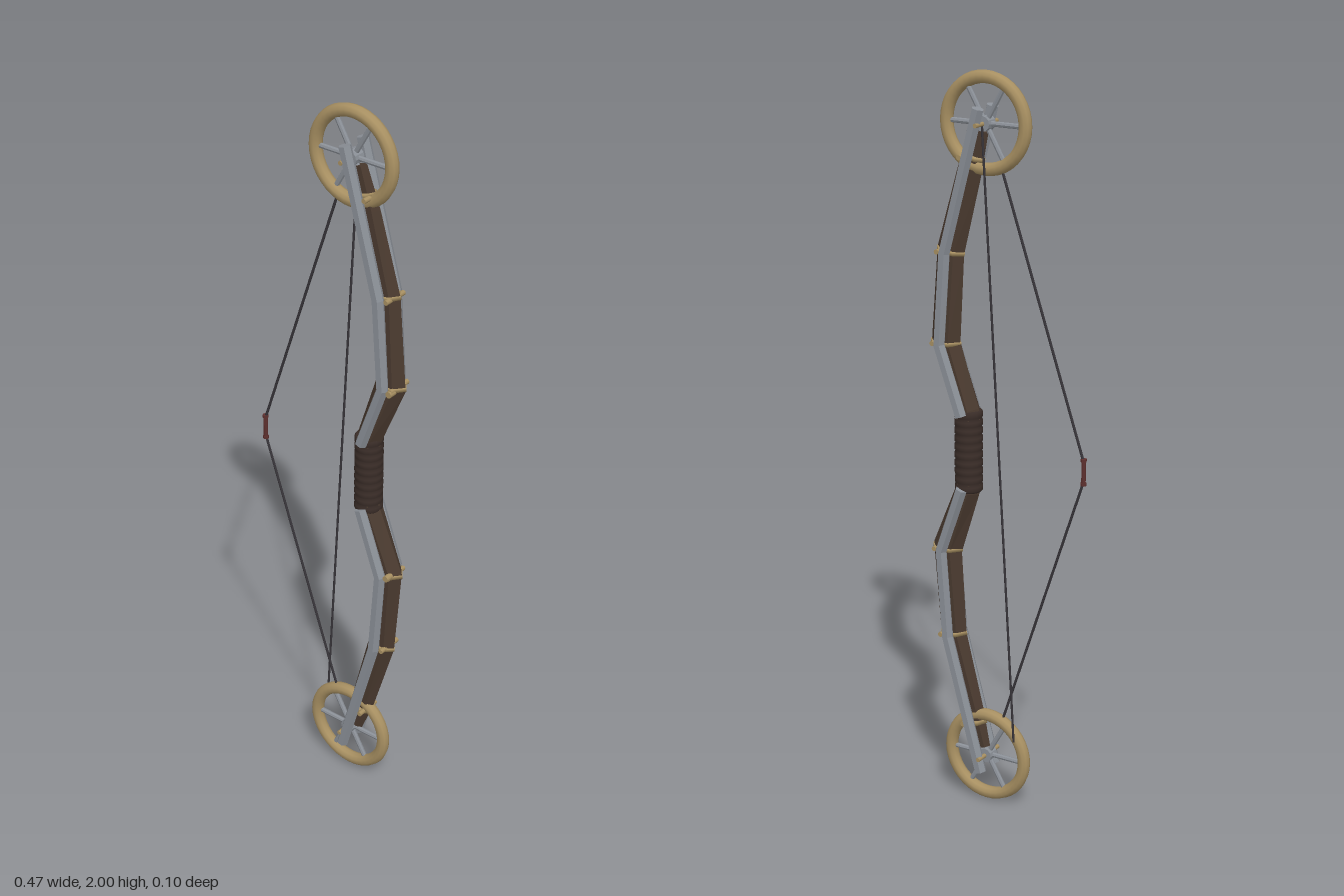
import * as THREE from 'three';

const mat = (color, flatShading = false) => new THREE.MeshStandardMaterial({ color, flatShading });
const wood = mat(0x4a3a2f, true), leather = mat(0x3a2d28), steel = mat(0x8b9097, true);
const brass = mat(0xa89062), cord = mat(0x38353a), red = mat(0x5e302e, true);

function add(parent, name, geometry, material, x = 0, y = 0, z = 0) {
  const mesh = new THREE.Mesh(geometry, material);
  mesh.name = name;
  mesh.position.set(x, y, z);
  parent.add(mesh);
  return mesh;
}

// Hexagonal section swept up a path of [x, y, half width in x, half depth in z]
function sweep(path, sides = 6) {
  const pos = [], idx = [], n = path.length;
  const dir = (a, b) => new THREE.Vector2(b[0] - a[0], b[1] - a[1]).normalize();
  path.forEach(([x, y, w, d], i) => {
    const a = dir(path[Math.max(i - 1, 0)], path[Math.max(i, 1)]);
    const b = dir(path[Math.min(i, n - 2)], path[Math.min(i + 1, n - 1)]);
    const t = a.add(b).normalize();
    for (let j = 0; j < sides; j++) {
      const q = (j / sides) * Math.PI * 2, c = w * Math.cos(q);
      pos.push(x + t.y * c, y - t.x * c, (d * Math.sin(q)) / 0.866);
    }
  });
  for (let i = 0; i < n - 1; i++) {
    for (let j = 0; j < sides; j++) {
      const a = i * sides + j, b = i * sides + ((j + 1) % sides);
      idx.push(a, a + sides, b, b, a + sides, b + sides);
    }
  }
  const top = (n - 1) * sides;
  for (let j = 1; j < sides - 1; j++) {
    idx.push(0, j, j + 1, top, top + j + 1, top + j);
  }
  const g = new THREE.BufferGeometry();
  g.setAttribute('position', new THREE.Float32BufferAttribute(pos, 3));
  g.setIndex(idx);
  g.computeVertexNormals();
  return g;
}

// Straight round bar between two points
function rod(parent, name, from, to, radius, material, sides = 8) {
  const a = new THREE.Vector3(...from), b = new THREE.Vector3(...to);
  const mesh = add(parent, name, new THREE.CylinderGeometry(radius, radius, a.distanceTo(b), sides), material);
  mesh.position.copy(a).lerp(b, 0.5);
  mesh.quaternion.setFromUnitVectors(new THREE.Vector3(0, 1, 0), b.sub(a).normalize());
  return mesh;
}

// Spoked cam wheel with hub and axle
function makeWheel(name, y) {
  const wheel = new THREE.Group();
  wheel.name = name;
  wheel.position.set(0.063, y, 0);
  add(wheel, 'rim', new THREE.TorusGeometry(0.116, 0.017, 10, 40), brass);
  for (let i = 0; i < 6; i++) {
    const a = (i * Math.PI) / 3;
    rod(wheel, 'spoke', [0, 0, 0], [0.112 * Math.cos(a), 0.112 * Math.sin(a), 0], 0.007, steel);
  }
  rod(wheel, 'hub', [0, 0, -0.016], [0, 0, 0.016], 0.02, steel, 12);
  rod(wheel, 'axle', [0, 0, -0.051], [0, 0, 0.052], 0.006, brass);
  return wheel;
}

// One limb with side rails and bands; upper shape, flipped in y for the lower
function makeLimb(name, upper) {
  const limb = new THREE.Group();
  limb.name = name;
  const place = (path) => (upper ? path : path.map(([x, y, w, d]) => [x, 2 - y, w, d]).reverse());

  add(limb, 'limbBody', sweep(place([
    [0.118, 1.08, 0.035, 0.03], [0.122, 1.11, 0.036, 0.03], [0.187, 1.285, 0.045, 0.027],
    [0.17, 1.53, 0.041, 0.021], [0.112, 1.74, 0.036, 0.014], [0.08, 1.85, 0.026, 0.011],
  ])), wood);

  // Steel rails either side of the limb
  for (const z of [-0.035, 0.035]) {
    add(limb, 'sideRail', sweep(place([
      [0.12, 1.1, 0.0165, 0.0145], [0.186, 1.285, 0.0165, 0.0145],
      [0.168, 1.53, 0.0165, 0.0145], [0.064, 1.908, 0.0165, 0.0145],
    ])), steel, 0, 0, z);
  }

  // Brass bands with pins tying the rails on
  const bands = [[0.187, 1.285, 0, 0.047, 0.03], [0.17, 1.53, -0.14, 0.043, 0.026], [0.1, 1.78, -0.27, 0.036, 0.022]];
  for (const [x, y, lean, w, d] of bands) {
    const h = 0.005;
    add(limb, 'band', sweep(place([[x - lean * h, y - h, w, d], [x + lean * h, y + h, w, d]])), brass);
    const py = upper ? y : 2 - y;
    for (const s of [-1, 1]) {
      rod(limb, 'bandPin', [x + 0.022, py, s * 0.012], [x + 0.022, py, s * 0.036], 0.007, brass);
    }
  }

  // Bolt on the front of the bend
  const by = upper ? 1.28 : 0.72;
  rod(limb, 'bolt', [0.209, by, 0.02], [0.209, by, 0.042], 0.009, brass, 10);
  return limb;
}

export function createModel() {
  const bow = new THREE.Group();
  bow.name = 'compoundBow';
  bow.add(makeLimb('upperLimb', true), makeLimb('lowerLimb', false));
  bow.add(makeWheel('upperWheel', 1.867), makeWheel('lowerWheel', 0.133));

  // Ribbed leather grip
  const profile = [new THREE.Vector2(0, -0.112)];
  const ribs = 10, step = 0.224 / ribs;
  for (let i = 0; i < ribs; i++) {
    for (const [f, r] of [[0, 0.034], [0.25, 0.038], [0.75, 0.038]]) {
      profile.push(new THREE.Vector2(r, -0.112 + (i + f) * step));
    }
  }
  profile.push(new THREE.Vector2(0.034, 0.112), new THREE.Vector2(0, 0.112));
  add(bow, 'grip', new THREE.LatheGeometry(profile, 16), leather, 0.119, 1, 0);

  // Drawn string, one half to each wheel
  for (const s of [-1, 1]) {
    rod(bow, 'string', [-0.228, 1 + s * 0.03, 0], [0.016, 1 + s * 0.757, 0], 0.0035, cord, 6);
  }
  // Cable between the wheels, behind the string
  rod(bow, 'cable', [-0.033, 0.2, -0.021], [0.061, 1.865, -0.021], 0.003, cord, 6);

  // Nocking point
  const nock = new THREE.Group();
  nock.name = 'nockingPoint';
  nock.position.set(-0.229, 1, 0);
  add(nock, 'serving', new THREE.CylinderGeometry(0.006, 0.006, 0.07, 8), red);
  for (const y of [-0.032, 0.032]) {
    add(nock, 'servingEnd', new THREE.CylinderGeometry(0.008, 0.008, 0.008, 8), red, 0, y, 0);
  }
  bow.add(nock);
  return bow;
}
